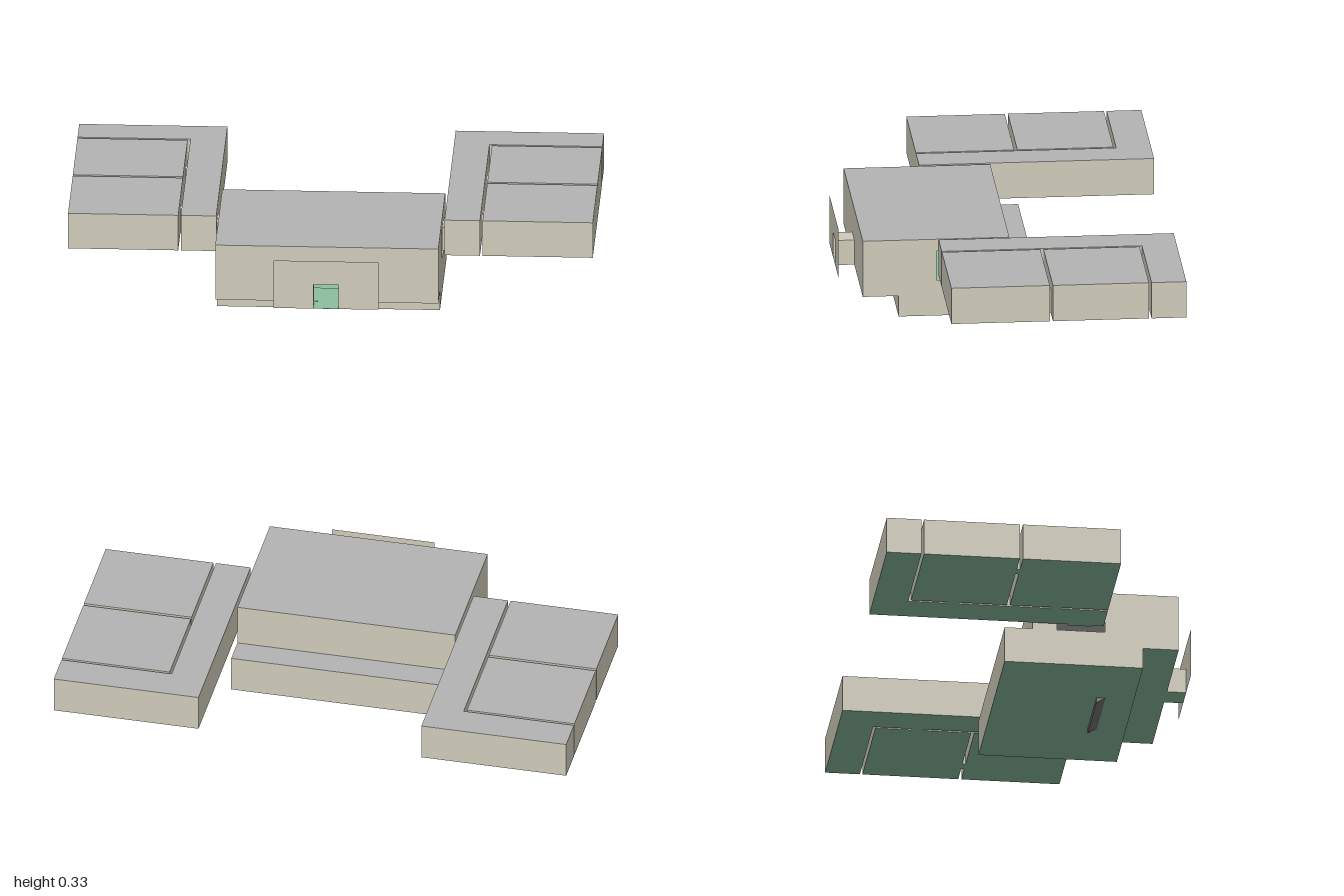
import * as THREE from 'three';

const mat = (color) => new THREE.MeshStandardMaterial({ color, side: THREE.DoubleSide });
const WALL = mat(0xd0cbba), ROOF = mat(0xb4b4b4), FLOOR = mat(0x8cbf9f), DARK = mat(0x777777);

const rect = (x0, x1, z0, z1) => [[x0, z0], [x1, z0], [x1, z1], [x0, z1]];
const toShape = (pts) => new THREE.Shape(pts.map(([a, b]) => new THREE.Vector2(a, b)));

export function createModel() {
  const model = new THREE.Group();

  const add = (parent, name, geometry, material) => {
    const mesh = new THREE.Mesh(geometry, material);
    mesh.name = name;
    parent.add(mesh);
    return mesh;
  };

  // Horizontal sheet from an outline in x and z, facing up or down
  const sheet = (parent, name, pts, y, up, material) => {
    const k = up ? -1 : 1;
    const g = new THREE.ShapeGeometry(toShape(pts.map(([x, z]) => [x, k * z])));
    return add(parent, name, g.rotateX(k * Math.PI / 2).translate(0, y, 0), material);
  };

  // Upright sheet along z with outward normal on side s
  const sideSheet = (parent, name, pts, x, s, holes = []) => {
    const flip = (p) => p.map(([z, y]) => [-s * z, y]);
    const shape = toShape(flip(pts));
    holes.forEach((h) => shape.holes.push(toShape(flip(h))));
    const g = new THREE.ShapeGeometry(shape);
    return add(parent, name, g.rotateY(s * Math.PI / 2).translate(x, 0, 0), WALL);
  };

  // Upright sheet across x, with an optional hole
  const frontSheet = (parent, name, pts, z, hole) => {
    const shape = toShape(pts);
    if (hole) shape.holes.push(toShape(hole));
    return add(parent, name, new THREE.ShapeGeometry(shape).translate(0, 0, z), WALL);
  };

  // Closed room: walls around an outline, roof and floor
  const room = (name, outline, y0, y1, s = 1, roofMaterial = ROOF) => {
    const g = new THREE.Group();
    g.name = name;
    model.add(g);
    const pts = outline.map(([x, z]) => [s * x, z]);
    pts.forEach(([x, z], i) => {
      const [u, v] = pts[(i + 1) % pts.length];
      const wall = new THREE.PlaneGeometry(Math.hypot(u - x, v - z), y1 - y0);
      wall.rotateY(Math.atan2(s * (v - z), -s * (u - x)));
      add(g, 'wall', wall.translate((x + u) / 2, (y0 + y1) / 2, (z + v) / 2), WALL);
    });
    sheet(g, 'roof', pts, y1, true, roofMaterial);
    sheet(g, 'floor', pts, y0, false, FLOOR);
  };

  // Main hall: stepped side profile, hollow, with openings
  const hall = new THREE.Group();
  hall.name = 'mainHall';
  model.add(hall);
  const W = 0.425, front = 0.557, step = 0.42, back = -0.11, mid = -0.003;
  const low = 0.02, ledge = 0.103, terrace = 0.163, top = 0.327;
  const profile = [[back, low], [step, low], [step, ledge], [front, ledge],
    [front, top], [mid, top], [mid, terrace], [back, terrace]];
  for (const s of [-1, 1]) {
    sideSheet(hall, 'hallSideWall', profile, s * W, s, [rect(0.09, 0.275, terrace, 0.28)]);
  }
  const door = rect(-0.048, 0.048, ledge + 0.0005, 0.202);
  frontSheet(hall, 'hallFrontWall', rect(-W, W, ledge, top), front, door);
  frontSheet(hall, 'hallLowerFrontWall', rect(-W, W, low, ledge), step);
  // Rear walls are turned to face backwards
  frontSheet(hall, 'hallUpperBackWall', rect(-W, W, terrace, top), -mid).rotation.y = Math.PI;
  frontSheet(hall, 'hallLowerBackWall', rect(-W, W, low, terrace), -back).rotation.y = Math.PI;
  sheet(hall, 'hallRoof', rect(-W, W, mid, front), top, true, ROOF);
  sheet(hall, 'hallTerraceRoof', rect(-W, W, back, mid), terrace, true, ROOF);
  sheet(hall, 'hallFloor', rect(-W, W, back, step), low, false, FLOOR);
  sheet(hall, 'hallLedgeFloor', rect(-W, W, step, front), ledge, false, FLOOR);

  // Entrance: thin facade panel joined to the hall by a door passage
  const entrance = new THREE.Group();
  entrance.name = 'entrance';
  model.add(entrance);
  const face = 0.63;
  frontSheet(entrance, 'entrancePanel', rect(-0.2, 0.2, ledge, 0.298), face, door);
  for (const s of [-1, 1]) {
    sideSheet(entrance, 'passageWall', rect(front, face, ledge, 0.202), s * 0.048, s);
  }
  sheet(entrance, 'passageCeiling', rect(-0.048, 0.048, front, face), 0.202, true, WALL);
  sheet(entrance, 'passageFloor', rect(-0.048, 0.048, front, face), ledge, false, FLOOR);

  // Small wedge under the hall floor
  const wedge = new THREE.ExtrudeGeometry(toShape([[-0.31, low], [-0.275, 0], [-0.275, low]]),
    { depth: 0.28, bevelEnabled: false });
  wedge.rotateY(Math.PI / 2).translate(-0.14, 0, 0);
  add(model, 'floorWedge', wedge, DARK);

  // Two mirrored wings: L-shaped corridor, two rooms and short links
  const y0 = 0.184, y1 = 0.328, linkTop = 0.28;
  const corridor = [[0.435, -0.63], [1, -0.63], [1, -0.497], [0.57, -0.497], [0.57, 0.268], [0.435, 0.268]];
  const links = [rect(0.425, 0.435, 0.13, 0.222), rect(0.57, 0.58, -0.35, -0.305),
    rect(0.57, 0.58, 0.045, 0.09), rect(0.86, 0.905, -0.12, -0.108)];
  for (const s of [-1, 1]) {
    room('wingCorridor', corridor, y0, y1, s);
    room('wingRearRoom', rect(0.58, 1, -0.487, -0.12), y0, y1, s);
    room('wingFrontRoom', rect(0.58, 1, -0.108, 0.268), y0, y1, s);
    links.forEach((l) => room('doorLink', l, y0, linkTop, s, WALL));
  }
  return model;
}
